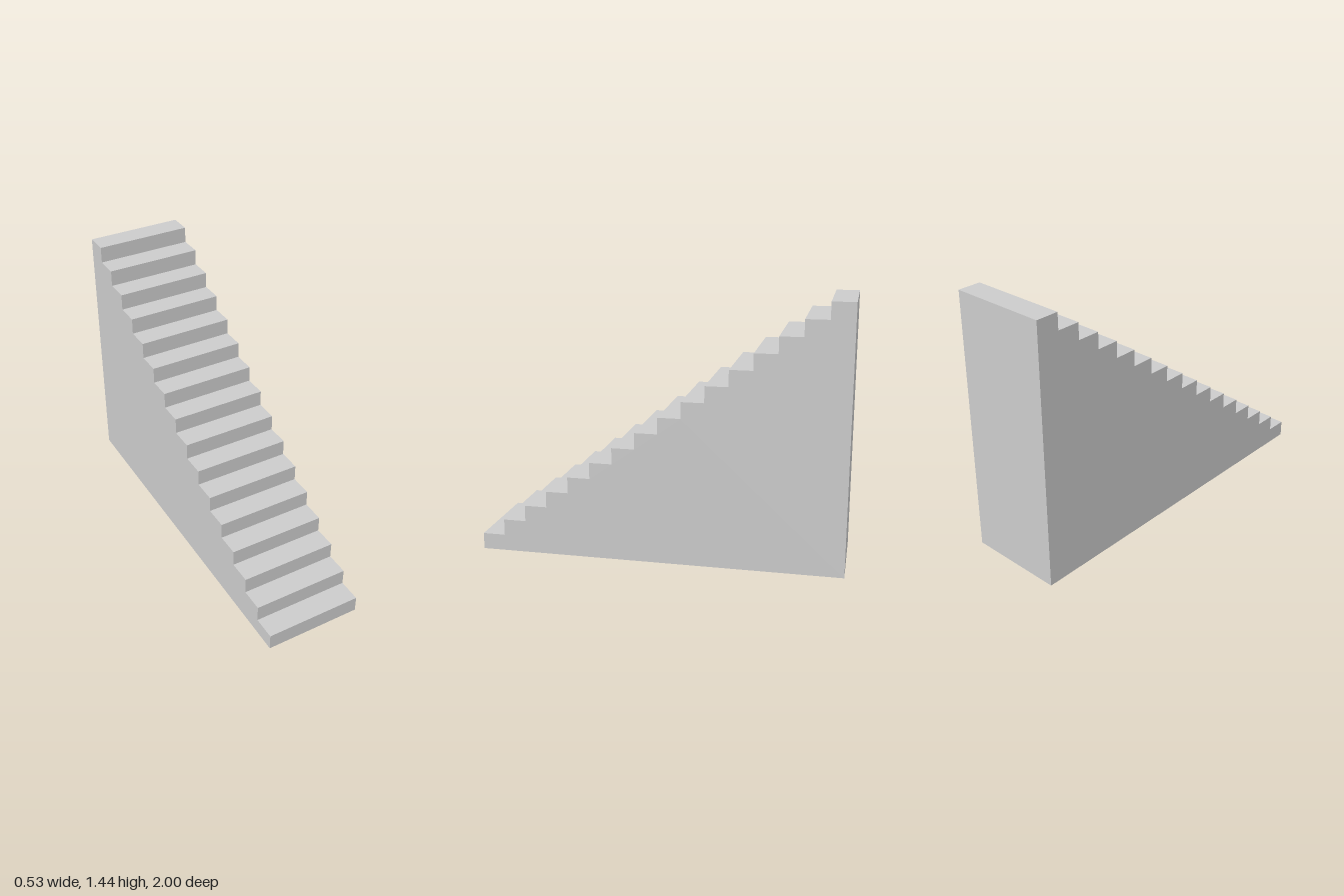
import * as THREE from 'three';

const STEPS = 16;
const RISE = 0.09;
const RUN = 2 / STEPS;
const WIDTH = 0.533;

export function createModel() {
  const group = new THREE.Group();
  group.name = 'staircase';

  // Side profile: shape x runs along the depth, front at +1, back at -1
  const profile = new THREE.Shape();
  profile.moveTo(-1, 0);
  profile.lineTo(1, 0);
  for (let i = 0; i < STEPS; i++) {
    const y = (i + 1) * RISE;
    profile.lineTo(1 - i * RUN, y); // riser
    profile.lineTo(1 - (i + 1) * RUN, y); // tread
  }
  profile.closePath();

  // Solid flight of steps, extruded across the width
  const geometry = new THREE.ExtrudeGeometry(profile, { depth: WIDTH, bevelEnabled: false });
  geometry.translate(0, 0, -WIDTH / 2);
  geometry.rotateY(-Math.PI / 2);

  const material = new THREE.MeshStandardMaterial({ color: 0xcccccc, flatShading: true });
  const flight = new THREE.Mesh(geometry, material);
  flight.name = 'stepFlight';
  group.add(flight);
  return group;
}
